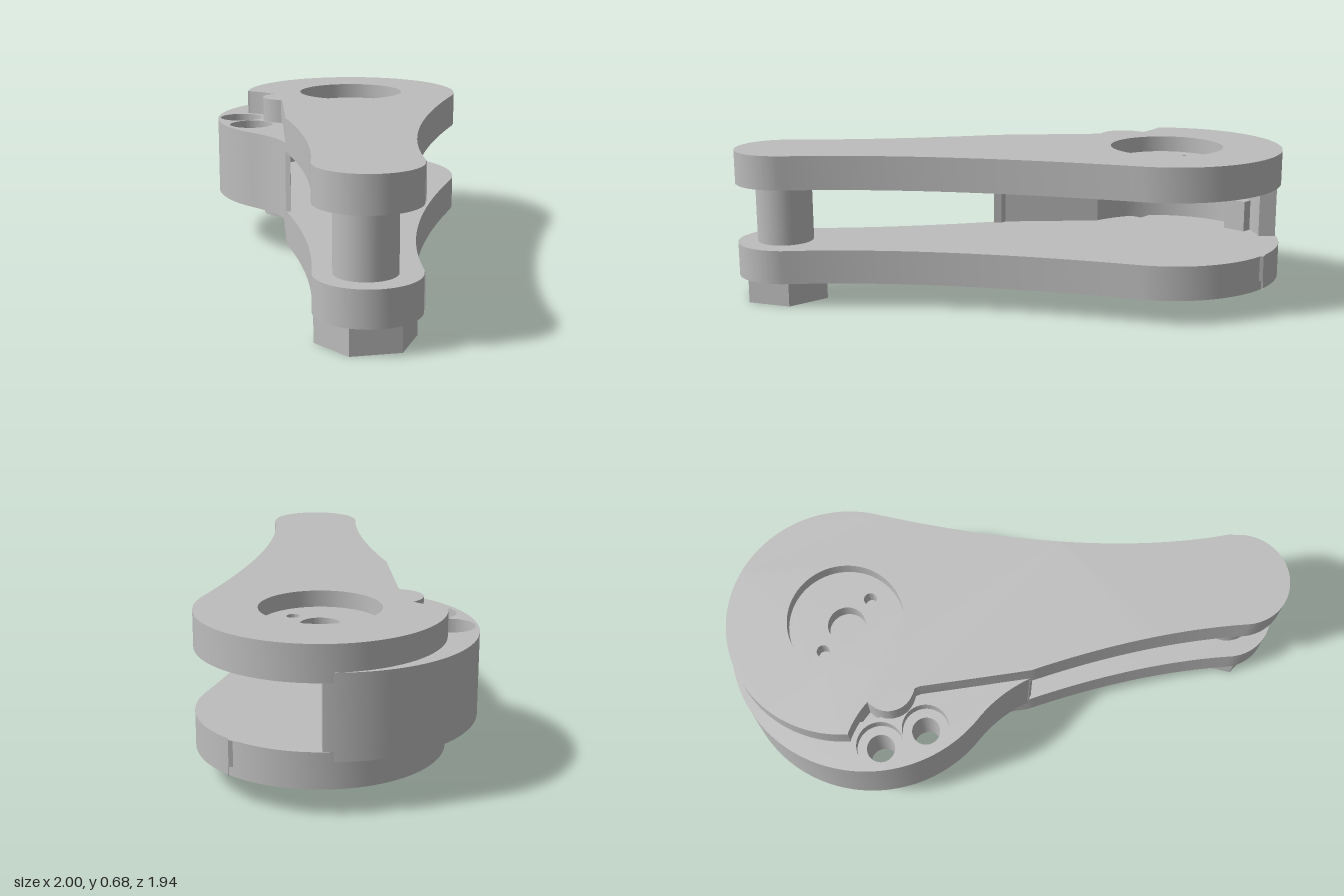
import * as THREE from 'three';
import { toCreasedNormals } from 'three/addons/utils/BufferGeometryUtils.js';

const HUB = [-0.43, -0.46];
const TIP = [0.785, 0.755];
const BORES = [[-0.74, -0.01], [-0.56, 0.09]];
const POCKETS = [[0.14, 0], [-0.53, -0.78]];
const rad = THREE.MathUtils.degToRad;

// Plan shapes use (x, z); they are extruded between two heights.
function slab(shape, y0, y1) {
  const geo = new THREE.ExtrudeGeometry(shape, { depth: y1 - y0, bevelEnabled: false, curveSegments: 40 });
  geo.rotateX(Math.PI / 2).translate(0, y1, 0);
  return toCreasedNormals(geo, 0.5);
}

function circle(Kind, [x, z], r) {
  const c = new Kind();
  c.absarc(x, z, r, 0, Math.PI * 2, false);
  return c;
}

// Point in a pocket: s runs along the arm, d across it
function pocketPoint([x, z], s, d) {
  const k = Math.SQRT1_2;
  return new THREE.Vector2(x + (d - s) * k, z - (d + s) * k);
}

function pocketOutline(c) {
  return [[-0.085, -0.2], [0.085, -0.2], [0.085, 0.2], [-0.085, 0.2]].map(([s, d]) => pocketPoint(c, s, d));
}

// Arm outline: large hub end, waisted sides, small tip, notch beside the bores
function plateShape() {
  const s = new THREE.Shape();
  s.absarc(...HUB, 0.51, rad(137.5), rad(332), false);
  s.quadraticCurveTo(0.44, 0.18, 0.94, 0.595);
  s.absarc(0.79, 0.75, 0.21, rad(-46), rad(136), false);
  s.quadraticCurveTo(0.35, 0.585, -0.11, 0.3);
  s.lineTo(-0.46, -0.02);
  s.lineTo(-0.48, -0.03);
  s.quadraticCurveTo(-0.56, 0.01, -0.62, -0.045);
  s.quadraticCurveTo(-0.655, -0.08, -0.65, -0.145);
  s.quadraticCurveTo(-0.73, -0.145, -0.8, -0.12);
  return s;
}

// Curved wall held between the plates
function bodyShape(boreRadius) {
  const s = new THREE.Shape();
  s.absarc(...HUB, 0.43, rad(225), rad(94), true);
  s.lineTo(-0.11, 0.3);
  s.quadraticCurveTo(-0.25, 0.235, -0.4, 0.24);
  s.absarc(-0.4, -0.36, 0.6, rad(90), rad(229.5), false);
  s.holes = BORES.map((b) => circle(THREE.Path, b, boreRadius));
  return s;
}

export function createModel() {
  const model = new THREE.Group();
  model.name = 'leverArm';
  const grey = new THREE.MeshStandardMaterial({ color: 0xbdbdbd });
  grey.name = 'grey';

  function add(name, geo, x = 0, y = 0, z = 0) {
    const mesh = new THREE.Mesh(geo, grey);
    mesh.name = name;
    mesh.position.set(x, y, z);
    model.add(mesh);
    return mesh;
  }

  // Top plate with a round recess whose floor has three holes
  const top = plateShape();
  top.holes.push(circle(THREE.Path, HUB, 0.25));
  add('topPlate', slab(top, 0.53, 0.68));
  const floor = circle(THREE.Shape, HUB, 0.25);
  floor.holes.push(circle(THREE.Path, HUB, 0.082));
  for (const side of [-1, 1]) {
    floor.holes.push(circle(THREE.Path, [HUB[0] + side * 0.155, HUB[1]], 0.028));
  }
  add('recessFloor', slab(floor, 0.53, 0.61));

  // Bottom plate with two pockets on its underside, each holding two pegs
  const bottom = plateShape();
  bottom.holes = POCKETS.map((c) => new THREE.Path(pocketOutline(c)));
  add('bottomPlate', slab(bottom, 0.11, 0.26));
  for (const c of POCKETS) {
    add('pocketFloor', slab(new THREE.Shape(pocketOutline(c)), 0.15, 0.26));
    for (const d of [-0.1, 0.1]) {
      const p = pocketPoint(c, 0, d);
      add('pocketPeg', new THREE.CylinderGeometry(0.042, 0.042, 0.04, 28), p.x, 0.132, p.y);
    }
  }

  // Body in three layers: wide counterbores above and below a narrow bore
  add('bodyLower', slab(bodyShape(0.1), 0.22, 0.28));
  add('bodyMiddle', slab(bodyShape(0.06), 0.28, 0.51));
  add('bodyUpper', slab(bodyShape(0.1), 0.51, 0.57));

  // Thin lip at the end of the body, and a small stop on its inner wall
  const lip = new THREE.Shape([[-0.14, 0.272], [-0.11, 0.27], [-0.085, 0.295], [-0.11, 0.302]]
    .map(([x, z]) => new THREE.Vector2(x, z)));
  add('bodyLip', slab(lip, 0.24, 0.54));
  add('stop', new THREE.BoxGeometry(0.1, 0.14, 0.11), -0.81, 0.33, -0.61);

  // Spindle between the plates at the tip, and the hexagonal head beneath
  add('spindle', new THREE.CylinderGeometry(0.125, 0.125, 0.29, 48), TIP[0], 0.395, TIP[1]);
  const hex = new THREE.Shape(Array.from({ length: 6 }, (_, i) => new THREE.Vector2(
    TIP[0] + 0.2 * Math.cos(rad(5 + 60 * i)), TIP[1] + 0.2 * Math.sin(rad(5 + 60 * i)))));
  add('hexHead', slab(hex, 0, 0.112));

  return model;
}
